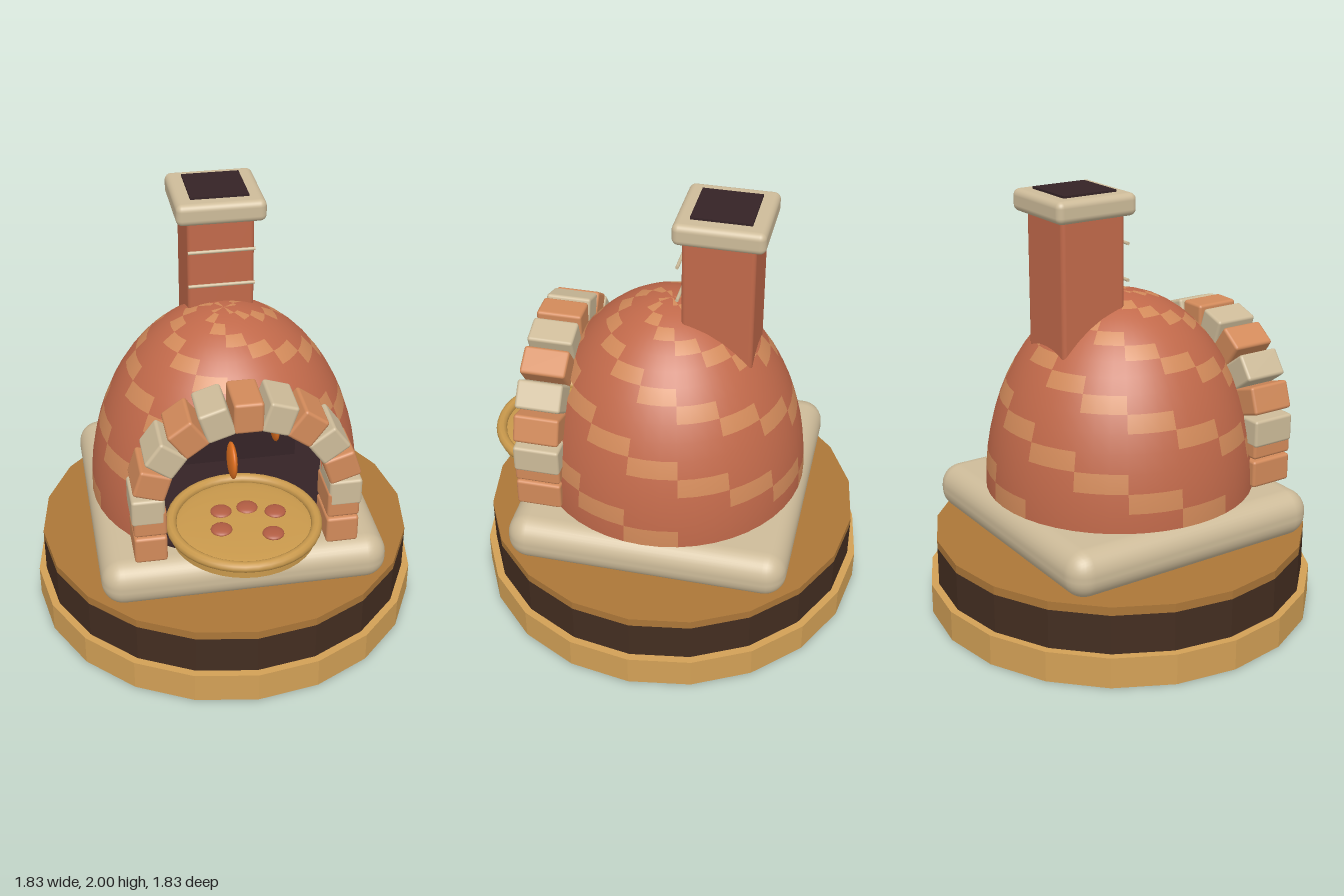
import * as THREE from 'three';
import { RoundedBoxGeometry } from 'three/addons/geometries/RoundedBoxGeometry.js';

const mat = (name, color, extra = {}) => {
  const m = new THREE.MeshStandardMaterial({ color, ...extra });
  m.name = name;
  return m;
};

export function createModel() {
  const model = new THREE.Group();
  model.name = 'pizzaOven';

  const cream = mat('cream stone', 0xcdbb99);
  const terracotta = mat('terracotta', 0xc1694a);
  const brick = mat('light brick', 0xd28a5a);
  const paleWood = mat('pale wood', 0xd2a056, { flatShading: true });
  const midWood = mat('mid wood', 0xab7638, { flatShading: true });
  const darkWood = mat('dark wood', 0x432d20, { flatShading: true });
  const soot = mat('soot', 0x352326);
  const flameMat = mat('flame', 0xe0701f);
  const crust = mat('crust', 0xc9994c);
  const pepperoniMat = mat('pepperoni', 0xb05c42);

  const add = (name, geo, material, x = 0, y = 0, z = 0, parent = model) => {
    const mesh = new THREE.Mesh(geo, material);
    mesh.name = name;
    mesh.position.set(x, y, z);
    parent.add(mesh);
    return mesh;
  };
  // Helpers that place shapes by their lowest and highest y
  const disc = (name, r, y0, y1, material, sides, z = 0) =>
    add(name, new THREE.CylinderGeometry(r, r, y1 - y0, sides), material, 0, (y0 + y1) / 2, z);
  const block = (name, w, y0, y1, d, radius, material, z = 0) =>
    add(name, new RoundedBoxGeometry(w, y1 - y0, d, 4, radius), material, 0, (y0 + y1) / 2, z);
  const ellipsoid = (name, rx, ry, rz, material, x, y, z) =>
    add(name, new THREE.SphereGeometry(1, 24, 16).scale(rx, ry, rz), material, x, y, z);

  // Stepped round base and stone slab
  disc('baseDisc', 0.915, 0, 0.145, paleWood, 20);
  disc('baseBand', 0.88, 0.145, 0.33, darkWood, 20);
  disc('baseTop', 0.88, 0.33, 0.37, midWood, 20);
  block('slab', 1.3, 0.37, 0.59, 1.3, 0.1, cream);

  // Dome: half ellipsoid with spiralling light bricks and a doorway left open
  const cols = 48, rows = 16;
  const dome = new THREE.SphereGeometry(0.63, cols, rows, 0, Math.PI * 2, 0, Math.PI / 2);
  dome.scale(1, 0.92 / 0.63, 1);
  const plain = [], light = [];
  for (let iy = 0; iy < rows; iy++) {
    for (let ix = 0; ix < cols; ix++) {
      const row = rows - 1 - iy;
      if (row < 7 && ix >= 7 && ix < 17) continue;
      const step = (((23 - ix + 2 - 3 * row) % 12) + 12) % 12;
      const b = iy * (cols + 1) + ix, a = b + 1, c = b + cols + 1, d = c + 1;
      const list = step < 3 ? light : plain;
      if (iy > 0) list.push(a, b, d);
      list.push(b, c, d);
    }
  }
  dome.setIndex([...plain, ...light]);
  dome.clearGroups();
  dome.addGroup(0, plain.length, 0);
  dome.addGroup(plain.length, light.length, 1);
  add('dome', dome, [terracotta, brick], 0, 0.59, 0);

  // Sooty oven interior and flames
  disc('ovenFloor', 0.6, 0.588, 0.605, soot, 48);
  add('ovenBack', new THREE.BoxGeometry(0.74, 0.575, 0.18), soot, 0, 0.8875, -0.19);
  for (const x of [-0.255, 0, 0.255]) {
    ellipsoid('flame', 0.022, 0.09, 0.08, flameMat, x, 0.83, x === 0 ? 0.22 : -0.05);
  }

  // Doorway arch: two bricks on each side and eleven around the curve
  const arch = new THREE.Group();
  arch.name = 'arch';
  model.add(arch);
  const brickGeo = new RoundedBoxGeometry(0.145, 0.13, 0.21, 2, 0.014);
  for (const side of [-1, 1]) {
    for (const y of [0.675, 0.815]) add('pillarBrick', brickGeo, brick, side * 0.428, y, 0.515, arch);
  }
  for (let i = 0; i <= 10; i++) {
    const a = (i * Math.PI) / 10;
    const stone = add('archBrick', brickGeo, (i < 6 ? i : 10 - i) % 2 ? brick : cream,
      0.435 * Math.cos(a), 0.875 + 0.435 * Math.sin(a), 0.515, arch);
    stone.rotation.z = a;
    if (i % 10 === 0) stone.scale.set(1.01, 1, 1.01);
  }

  // Pizza with raised crust and pepperoni
  disc('pizzaBase', 0.325, 0.645, 0.695, crust, 40, 0.515);
  ellipsoid('pizzaTop', 0.31, 0.02, 0.31, midWood.clone(), 0, 0.693, 0.515).material = crust;
  add('pizzaRim', new THREE.TorusGeometry(0.325, 0.025, 10, 40).rotateX(Math.PI / 2), crust, 0, 0.705, 0.515);
  for (const [x, z] of [[-0.09, 0.44], [-0.11, 0.57], [0.03, 0.43], [0.11, 0.635], [0.15, 0.48]]) {
    ellipsoid('pepperoni', 0.048, 0.016, 0.048, pepperoniMat, x, 0.712, z);
  }

  // Chimney with thin bars, stone cap and flue
  block('chimney', 0.3, 1.25, 1.91, 0.32, 0.02, terracotta, -0.23);
  for (const y of [1.595, 1.76]) {
    add('chimneyBar', new THREE.CylinderGeometry(0.008, 0.008, 0.3, 8).rotateZ(Math.PI / 2), cream, 0, y, -0.053);
  }
  block('chimneyCap', 0.4, 1.89, 1.99, 0.4, 0.03, cream, -0.235);
  add('flue', new THREE.BoxGeometry(0.26, 0.06, 0.265), soot, 0, 1.97, -0.235);

  return model;
}
